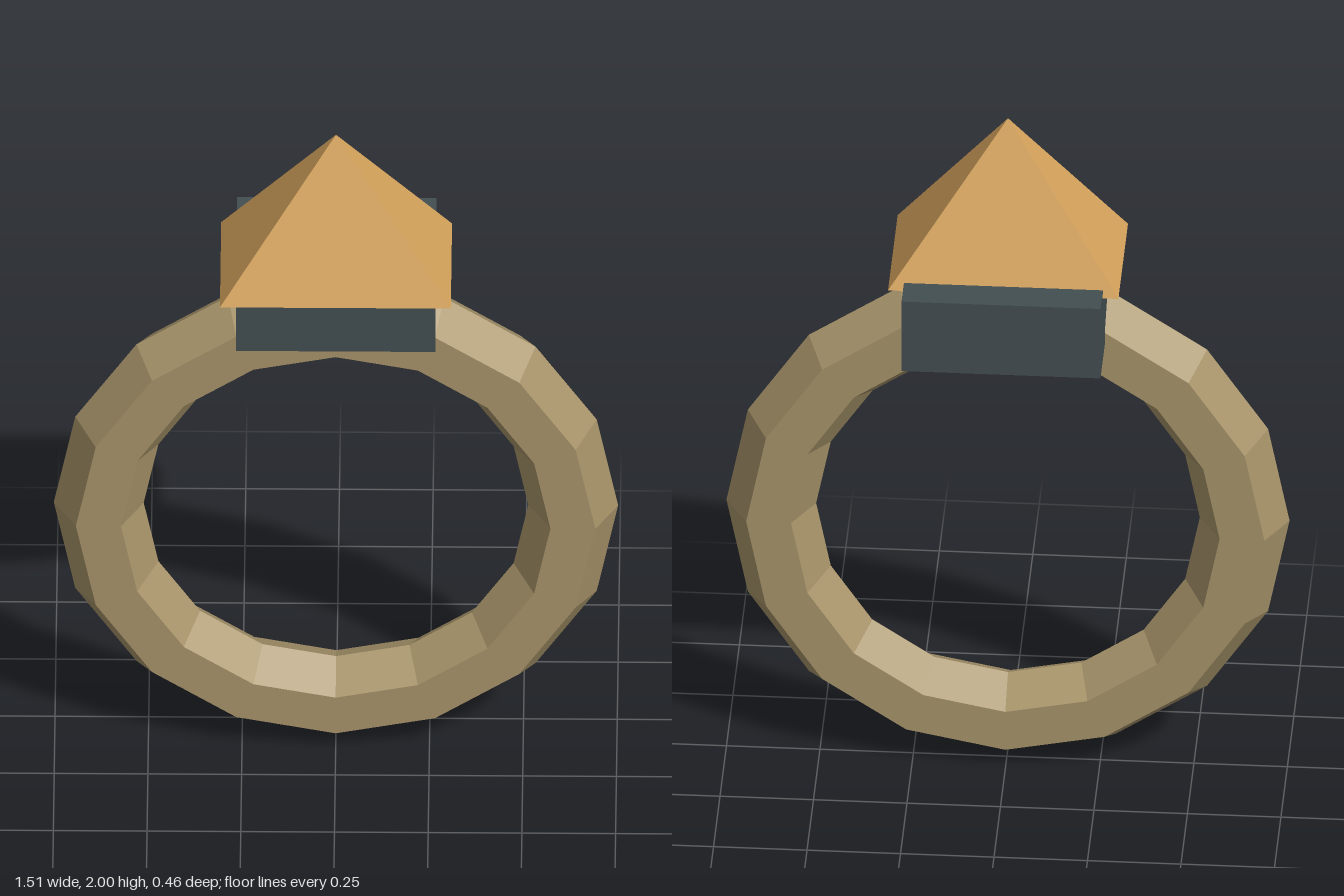
import * as THREE from 'three';

const CENTRE_Z = 0.042; // plane shared by the band and the gem

function addPart(group, name, geometry, color, x, y, z) {
  const material = new THREE.MeshStandardMaterial({ color, flatShading: true });
  const mesh = new THREE.Mesh(geometry, material);
  mesh.name = name;
  mesh.position.set(x, y, z);
  group.add(mesh);
  return mesh;
}

export function createModel() {
  const ring = new THREE.Group();
  ring.name = 'ring';

  // Band: hexagonal section swept around sixteen segments
  addPart(ring, 'band', new THREE.TorusGeometry(0.633, 0.12, 6, 16), 0xa8946a, 0, 0.758, CENTRE_Z);

  // Setting: block reaching out behind the band
  addPart(ring, 'setting', new THREE.BoxGeometry(0.532, 0.22, 0.387), 0x434e52, 0, 1.47, -0.035);

  // Gem: four-sided pyramid with a rectangular base, closed underneath
  const pyramid = new THREE.ConeGeometry(Math.SQRT1_2, 1, 4);
  pyramid.rotateY(Math.PI / 4);
  pyramid.scale(0.616, 0.44, 0.373);
  addPart(ring, 'gem', pyramid, 0xd6a35c, 0, 1.78, CENTRE_Z);

  return ring;
}
